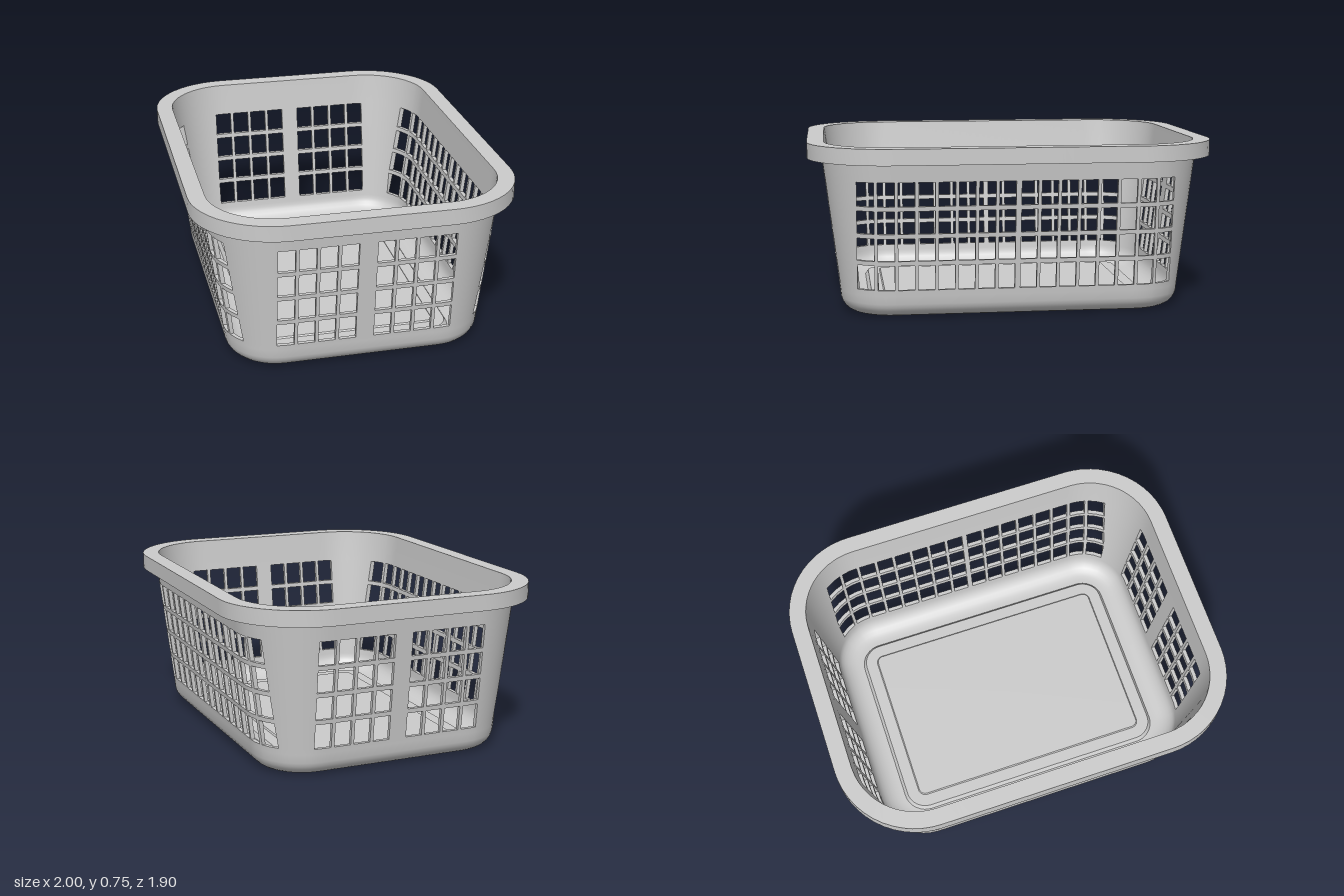
import * as THREE from 'three';
import { toCreasedNormals } from 'three/addons/utils/BufferGeometryUtils.js';

// Plan: rounded rectangle, P x Q half-size of the corner centres, R0 outer rim radius
const P = 0.529, Q = 0.342, R0 = 0.37, TURN = 0.588;

// Edges of the window columns along one half of a side
function columns(start, end, count, bar) {
  const pitch = (end - start + bar) / count, list = [];
  for (let i = 0; i < count; i++) {
    const a = start + i * pitch, b = a + pitch - bar;
    list.push({ t: a, hole: true }, { t: (a + b) / 2, hole: true }, { t: b, hole: false });
  }
  return list;
}

// Position on a quarter of the outline for corner radius R: along a side, or around the corner
const bend = (t, c, R) => Math.asin(Math.max(0, t - c) / Math.max(R, 0.235));
const LONG_END = 0.69, SHORT_END = 0.385;
function quarterPoint(s, R) {
  if (s.side === 'short' && s.t <= Q) return [P + R, s.t];
  if (s.side === 'long' && s.t <= P) return [s.t, Q + R];
  let angle;
  if (s.side === 'short') angle = bend(s.t, Q, R);
  else if (s.side === 'long') angle = Math.PI / 2 - bend(s.t, P, R);
  else angle = THREE.MathUtils.lerp(bend(SHORT_END, Q, R), Math.PI / 2 - bend(LONG_END, P, R), s.t);
  return [P + R * Math.cos(angle), Q + R * Math.sin(angle)];
}

// Stations around the whole outline, mirrored from one quarter
function makeStations() {
  const quarter = columns(0.04, SHORT_END, 4, 0.015).map(s => ({ ...s, side: 'short' }));
  for (let i = 1; i < 8; i++) quarter.push({ side: 'corner', t: i / 8, hole: false });
  const long = columns(0.012, LONG_END, 8, 0.015).map(s => ({ ...s, side: 'long' })).reverse();
  // a reversed list needs its hole flags moved to the other end of each interval
  long.forEach((s, i) => { s.hole = i % 3 < 2; });
  quarter.push(...long);
  const n = quarter.length, all = [];
  for (const [sx, sz, flip] of [[1, 1, false], [-1, 1, true], [-1, -1, false], [1, -1, true]]) {
    for (let i = 0; i < n; i++) {
      const s = quarter[flip ? n - 1 - i : i];
      const hole = flip ? i < n - 1 && quarter[n - 2 - i].hole : s.hole;
      all.push({ ...s, sx, sz, hole });
    }
  }
  return all;
}

export function createModel() {
  const levels = [0.1, 0.125, 0.235, 0.255, 0.355, 0.375, 0.475, 0.495, 0.6, 0.735];
  const wall = y => -0.065 - 0.07 * (0.68 - y) / 0.58;
  const THICK = 0.018, STEPS = 7;

  // Cross-section [inset, y]: underside, outer wall, rim, inner wall, floor
  const profile = [[-0.34, 0.03], [-0.335, 0.022], [-0.28, 0.022], [-0.267, 0]];
  const underEnd = profile.length - 1;
  for (let i = 0; i < STEPS; i++) {
    const a = (1 - i / STEPS) * Math.PI / 2;
    profile.push([-0.215 + 0.078 * Math.cos(a), 0.08 - 0.08 * Math.sin(a)]);
  }
  const outer0 = profile.length;
  levels.forEach(y => profile.push([wall(y), y]));
  const rimStart = profile.length - 1;
  profile.push([-0.012, 0.735], [-0.012, 0.68], [0, 0.68], [0, 0.75], [-0.075, 0.75]);
  const rimEnd = profile.length - 1;
  [...levels].reverse().forEach(y => profile.push([wall(y) - THICK, y]));
  const inner0 = profile.length - 1;
  for (let i = 1; i <= STEPS; i++) {
    const a = i / STEPS * Math.PI / 2;
    profile.push([-0.25 + 0.097 * Math.cos(a), 0.1 - 0.08 * Math.sin(a)]);
  }
  profile.push([-0.267, 0.02]);
  const floorStart = profile.length - 1;
  profile.push([-0.28, 0.04], [-0.335, 0.04], [-0.34, 0.046]);
  const last = profile.length - 1;

  const stations = makeStations(), count = stations.length;
  const grid = stations.map(s => profile.map(([d, y]) => {
    const [x, z] = quarterPoint(s, R0 + d);
    return [x * s.sx, y, z * s.sz];
  }));

  const parts = { basketWall: [], rim: [], base: [] };
  const tri = (list, a, b, c) => list.push(...a, ...b, ...c);
  const quad = (list, a, b, c, d) => { tri(list, a, b, c); tri(list, a, c, d); };
  const isHoleRow = k => k >= 1 && k <= 7 && k % 2 === 1;

  for (let j = 0; j < count; j++) {
    const A = grid[j], B = grid[(j + 1) % count], hole = stations[j].hole;

    // Swept skin, leaving out the windows
    for (let i = 0; i < last; i++) {
      if (hole && (isHoleRow(i - outer0) || isHoleRow(inner0 - i - 1))) continue;
      const name = i < underEnd || i >= floorStart ? 'base'
        : i >= rimStart && i < rimEnd ? 'rim' : 'basketWall';
      quad(parts[name], A[i], A[i + 1], B[i + 1], B[i]);
    }
    // Flat middle of the base, below and above
    tri(parts.base, [0, profile[0][1], 0], A[0], B[0]);
    tri(parts.base, A[last], [0, profile[last][1], 0], B[last]);

    // Window edges through the wall thickness
    if (!hole) continue;
    const startEdge = !stations[(j + count - 1) % count].hole;
    const endEdge = !stations[(j + 1) % count].hole;
    for (let k = 1; k <= 7; k += 2) {
      const o = outer0 + k, n = inner0 - k, w = parts.basketWall;
      quad(w, A[n], B[n], B[o], A[o]);
      quad(w, A[o + 1], B[o + 1], B[n - 1], A[n - 1]);
      if (startEdge) quad(w, A[n], A[o], A[o + 1], A[n - 1]);
      if (endEdge) quad(w, B[n - 1], B[o + 1], B[o], B[n]);
    }
  }

  const material = new THREE.MeshStandardMaterial({ color: 0xcccccc });
  const basket = new THREE.Group();
  basket.name = 'basket';
  basket.rotation.y = -TURN;
  for (const [name, positions] of Object.entries(parts)) {
    const geometry = new THREE.BufferGeometry();
    geometry.setAttribute('position', new THREE.Float32BufferAttribute(positions, 3));
    const mesh = new THREE.Mesh(toCreasedNormals(geometry, 0.6), material);
    mesh.name = name;
    basket.add(mesh);
  }
  const model = new THREE.Group();
  model.name = 'laundryBasket';
  model.add(basket);
  return model;
}
